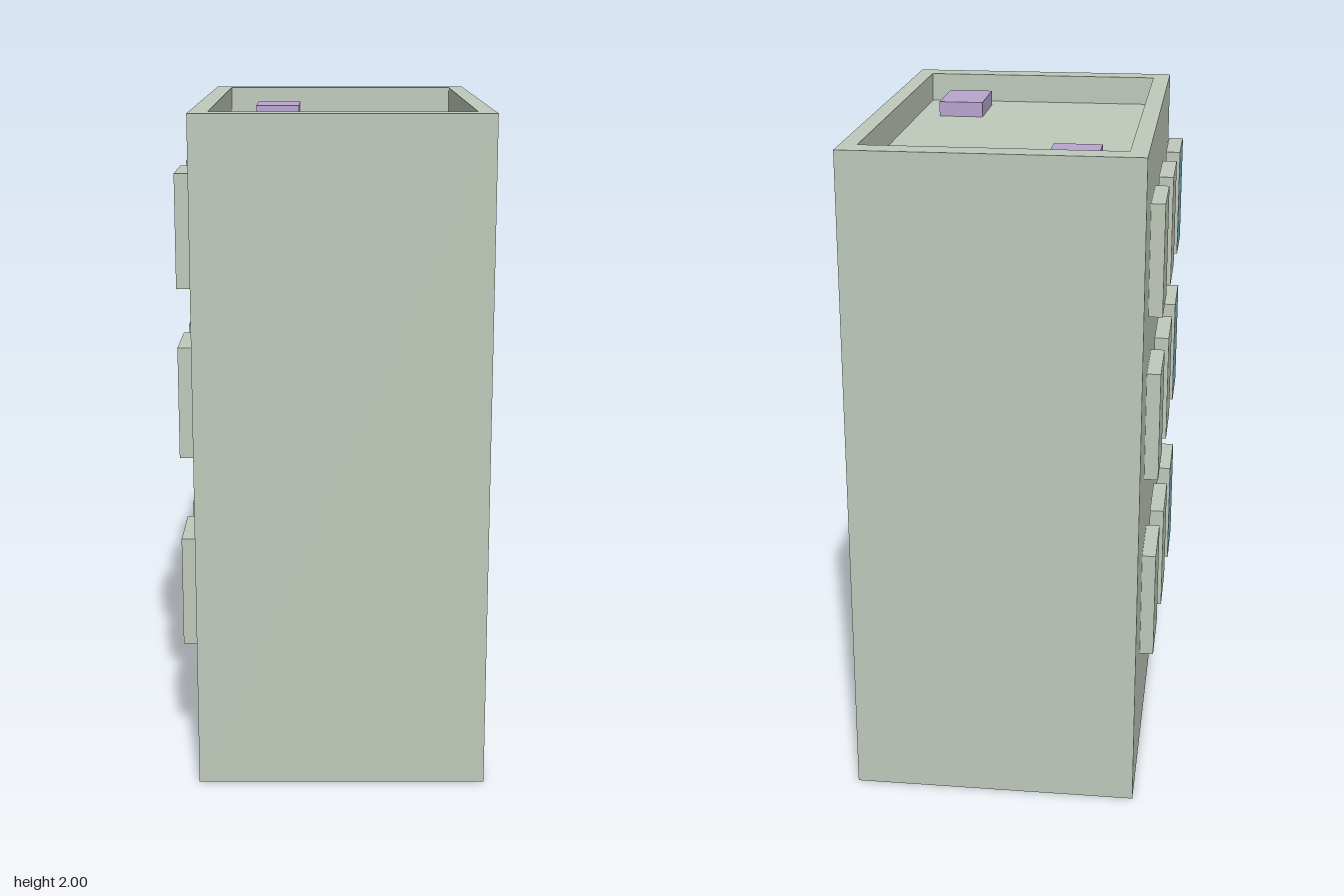
import * as THREE from 'three';

const wallMat = new THREE.MeshStandardMaterial({ color: 0xbfc9bb });
const paneMat = new THREE.MeshStandardMaterial({ color: 0x77bbca });
const ventMat = new THREE.MeshStandardMaterial({ color: 0xb8a5cf });

// Rectangular cross-section, corners counter-clockwise seen from above
const ring = (x0, x1, z0, z1, y) => [[x0, y, z1], [x1, y, z1], [x1, y, z0], [x0, y, z0]];

// Closed shell through a list of rings, bottom to top, capped at both ends
function loft(rings) {
  const pos = [];
  const quad = (a, b, c, d) => pos.push(...a, ...b, ...c, ...a, ...c, ...d);
  for (let r = 0; r < rings.length - 1; r++) {
    const lo = rings[r], hi = rings[r + 1];
    for (let i = 0; i < 4; i++) {
      const j = (i + 1) % 4;
      quad(lo[i], lo[j], hi[j], hi[i]);
    }
  }
  quad(...[...rings[0]].reverse());
  quad(...rings[rings.length - 1]);
  const geo = new THREE.BufferGeometry();
  geo.setAttribute('position', new THREE.Float32BufferAttribute(pos, 3));
  geo.computeVertexNormals();
  return geo;
}

// Box given by its limits on each axis
function box(name, [x0, x1], [y0, y1], [z0, z1], material) {
  const mesh = new THREE.Mesh(new THREE.BoxGeometry(x1 - x0, y1 - y0, z1 - z0), material);
  mesh.position.set((x0 + x1) / 2, (y0 + y1) / 2, (z0 + z1) / 2);
  mesh.name = name;
  return mesh;
}

export function createModel() {
  const model = new THREE.Group();
  model.name = 'building';

  // Tower block with a sunken roof behind a parapet
  const tower = new THREE.Mesh(loft([
    ring(-0.405, 0.455, -0.687, 0.683, 0),
    ring(-0.405, 0.455, -0.687, 0.683, 2),
    ring(-0.352, 0.405, -0.608, 0.602, 2),
    ring(-0.352, 0.405, -0.608, 0.602, 1.91),
  ]), wallMat);
  tower.name = 'tower';
  model.add(tower);

  // Roof units
  model.add(box('roofUnitBack', [-0.255, -0.112], [1.91, 1.957], [-0.537, -0.315], ventMat));
  model.add(box('roofUnitFront', [0.19, 0.332], [1.91, 1.957], [0.31, 0.533], ventMat));

  // Three columns of windows on the right side, the front column glazed
  const columns = [
    { x: -0.447, z: -0.445 },
    { x: -0.455, z: -0.098 },
    { x: -0.46, z: 0.271, glazed: true },
  ];
  for (const { x, z, glazed } of columns) {
    for (const y of [0.375, 0.967, 1.48]) {
      const win = new THREE.Group();
      win.name = 'window';
      win.add(box('windowFrame', [x, x + 0.045], [y, y + 0.337], [z, z + 0.232], wallMat));
      if (glazed) {
        const pane = new THREE.Mesh(new THREE.PlaneGeometry(0.232, 0.337), paneMat);
        pane.rotation.y = -Math.PI / 2;
        pane.position.set(x - 0.001, y + 0.1685, z + 0.116);
        pane.name = 'windowPane';
        win.add(pane);
      }
      model.add(win);
    }
  }
  return model;
}
